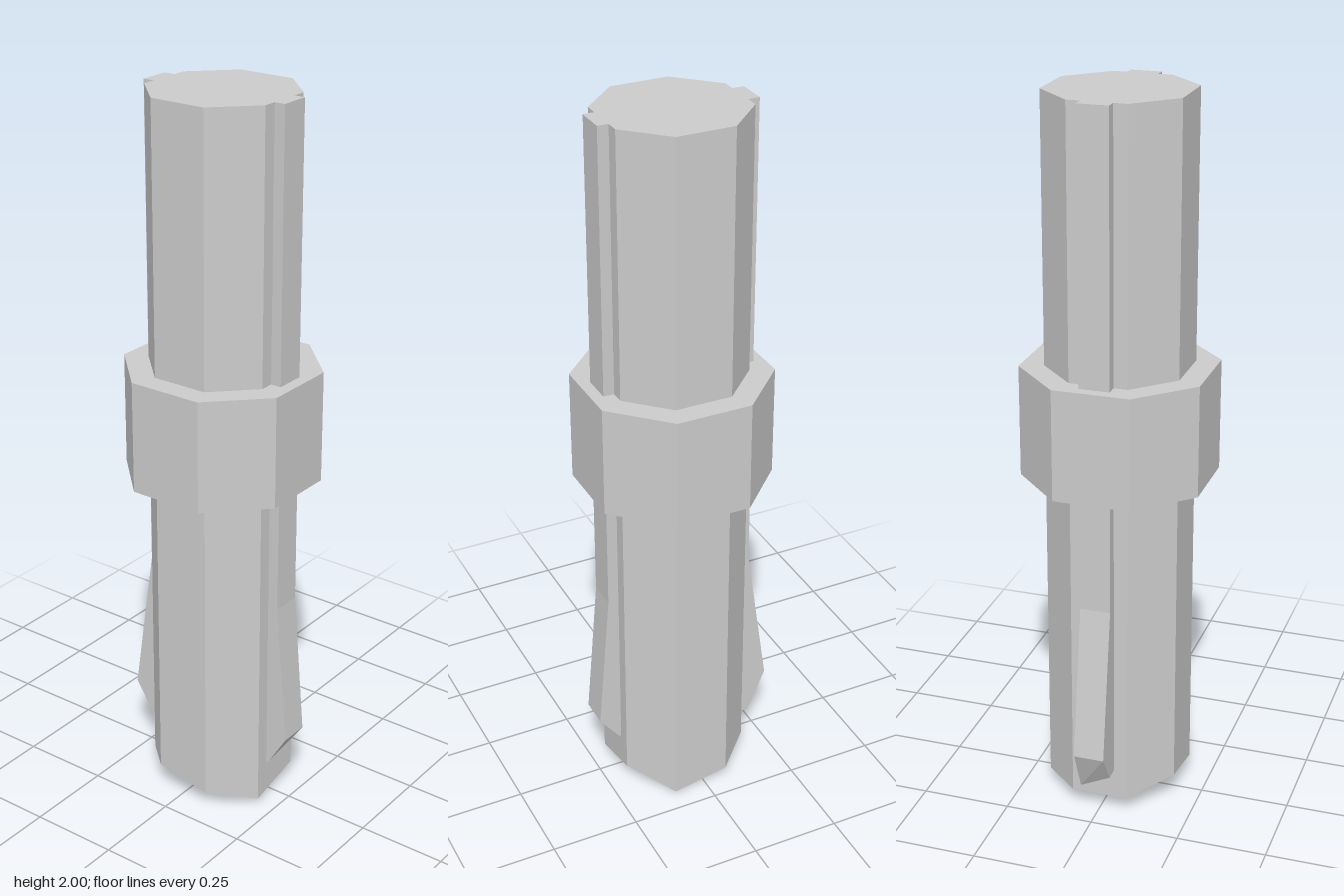
import * as THREE from 'three';

const CX = 0.0135; // axis of the column and collar
const material = new THREE.MeshStandardMaterial({ color: 0xcccccc, flatShading: true });

// Octagonal prism: r = distance to the flats, h = half length of a flat
function octagonPrism(r, h, y0, y1) {
  const pts = [[r, h], [h, r], [-h, r], [-r, h], [-r, -h], [-h, -r], [h, -r], [r, -h]];
  const shape = new THREE.Shape(pts.map(([x, y]) => new THREE.Vector2(x, y)));
  const geo = new THREE.ExtrudeGeometry(shape, { depth: y1 - y0, bevelEnabled: false });
  return geo.rotateX(-Math.PI / 2).translate(0, y0, 0);
}

// Fin: an outline in x and y, with its lower end skewed between front and back
function finGeometry(points, halfWidth, backShift) {
  const shape = new THREE.Shape(points.map(([x, y]) => new THREE.Vector2(x, y)));
  const geo = new THREE.ExtrudeGeometry(shape, { depth: halfWidth * 2, bevelEnabled: false });
  geo.translate(0, 0, -halfWidth);
  const p = geo.attributes.position;
  for (let i = 0; i < p.count; i++) {
    if (p.getY(i) < 0.18 && p.getZ(i) < 0) p.setY(i, p.getY(i) + backShift);
  }
  geo.computeVertexNormals();
  return geo;
}

export function createModel() {
  const group = new THREE.Group();
  const add = (name, geo) => {
    const mesh = new THREE.Mesh(geo, material);
    mesh.name = name;
    group.add(mesh);
    return mesh;
  };

  // Column with a rough, broken lower end (one height per corner)
  const column = octagonPrism(0.1855, 0.08, 0, 2);
  const heights = [0.015, 0.05, 0.08, 0.045, 0.045, 0.03, 0, 0.055];
  const p = column.attributes.position;
  for (let i = 0; i < p.count; i++) {
    if (p.getY(i) > 0.01) continue;
    const turn = Math.atan2(p.getZ(i), p.getX(i)) / (Math.PI / 4);
    p.setY(i, heights[(Math.floor(turn) + 8) % 8]);
  }
  column.computeVertexNormals();
  add('column', column).position.x = CX;

  // Collar around the middle
  add('collar', octagonPrism(0.248, 0.106, 0.96, 1.27)).position.x = CX;

  // Side fins, flaring out near the lower end
  add('leftFin', finGeometry(
    [[0.195, 2], [0.195, 0.12], [0.205, 0.12], [0.263, 0.215], [0.229, 0.62], [0.229, 2]], 0.042, 0.02));
  add('rightFin', finGeometry(
    [[-0.168, 2], [-0.204, 2], [-0.204, 0.64], [-0.266, 0.215], [-0.212, 0.13], [-0.168, 0.13]], 0.042, -0.04));

  return group;
}
